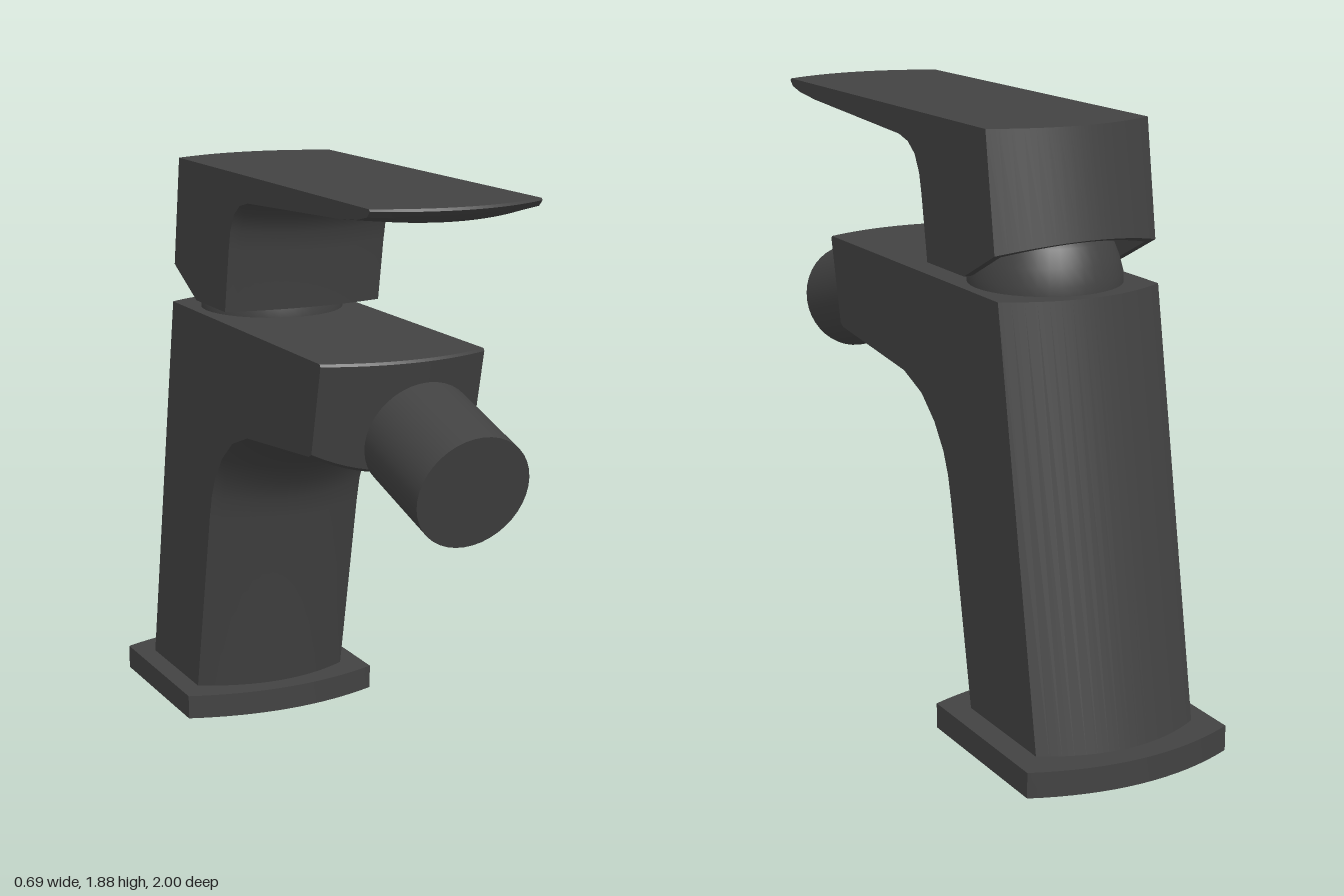
import * as THREE from 'three';
import { toCreasedNormals } from 'three/addons/utils/BufferGeometryUtils.js';

const COLS = 16;
const lerp = THREE.MathUtils.lerp;

function build(tris) {
  const g = new THREE.BufferGeometry();
  g.setAttribute('position', new THREE.Float32BufferAttribute(tris.flat(), 3));
  return toCreasedNormals(g, 0.5);
}

// Point of a bowed profile at t (-1..1): [zMiddle, yMiddle, zSide, ySide]
const bowed = ([zm, ym, zs, ys], t, w) => [t * w, lerp(ym, ys, t * t), lerp(zm, zs, t * t)];

// Sweep a side profile across x, blending middle to side outline;
// the last `skip` edges are left open
function bowedSolid(profile, w, skip = 0) {
  const tris = [], n = profile.length;
  for (let j = 0; j < n - skip; j++) {
    const p = profile[j], q = profile[(j + 1) % n];
    for (let i = 0; i < COLS; i++) {
      const t0 = -1 + 2 * i / COLS, t1 = -1 + 2 * (i + 1) / COLS;
      const a = bowed(p, t0, w), b = bowed(p, t1, w), c = bowed(q, t0, w), d = bowed(q, t1, w);
      tris.push(a, b, c, b, d, c);
    }
  }
  // flat side walls
  const side = profile.map(p => new THREE.Vector2(p[2], p[3]));
  for (const [a, b, c] of THREE.ShapeUtils.triangulateShape(side, [])) {
    const at = (k, s) => [s * w, side[k].y, side[k].x];
    tris.push(at(a, -1), at(b, -1), at(c, -1), at(a, 1), at(c, 1), at(b, 1));
  }
  return build(tris);
}

export function createModel() {
  const group = new THREE.Group();
  const metal = new THREE.MeshStandardMaterial({ color: 0x424242 });
  metal.name = 'dark metal';
  const add = (name, geometry, x = 0, y = 0, z = 0) => {
    const m = new THREE.Mesh(geometry, metal);
    m.name = name;
    m.position.set(x, y, z);
    group.add(m);
    return m;
  };
  const cx = -0.0075, w = 0.2725;

  // Base plate
  add('basePlate', bowedSolid([
    [-1, 0, -0.925, 0], [-0.295, 0, -0.36, 0],
    [-0.295, 0.08, -0.36, 0.08], [-1, 0.08, -0.925, 0.08],
  ], 0.345), -0.003);

  // Leaning column and spout
  add('body', bowedSolid([
    [-0.925, 0.06, -0.845, 0.06], [-0.37, 0.06, -0.445, 0.06],
    [-0.255, 0.7, -0.315, 0.71], [-0.235, 0.77, -0.295, 0.79],
    [-0.2, 0.835, -0.265, 0.86], [-0.14, 0.9, -0.205, 0.94],
    [-0.06, 0.955, -0.12, 1.01], [0.05, 0.988, 0, 1.055],
    [0.49, 1.035, 0.45, 1.1], [0.508, 1.045, 0.468, 1.11],
    [0.592, 1.385, 0.53, 1.385], [0.585, 1.393, 0.525, 1.393],
    [-0.685, 1.393, -0.605, 1.393],
  ], w), cx);

  // Cartridge neck under the lever
  add('neck', new THREE.LatheGeometry([
    [0.235, 1.385], [0.235, 1.42], [0.222, 1.47], [0.2, 1.525], [0.17, 1.57], [0, 1.63],
  ].reverse().map(p => new THREE.Vector2(...p)).reverse(), 40), cx, 0, -0.405);

  // Lever handle with an open underside
  const frontFoot = [-0.13, 1.43, -0.165, 1.43], backFoot = [-0.655, 1.555, -0.585, 1.5225];
  add('lever', bowedSolid([
    frontFoot, [-0.1, 1.62, -0.13, 1.63], [-0.085, 1.68, -0.115, 1.695],
    [-0.055, 1.735, -0.085, 1.75], [-0.01, 1.768, -0.04, 1.782],
    [0.05, 1.78, 0.02, 1.797], [0.7, 1.815, 0.64, 1.83],
    [0.82, 1.828, 0.76, 1.842], [0.885, 1.85, 0.82, 1.856],
    [0.908, 1.872, 0.838, 1.874], [0.902, 1.88, 0.832, 1.88],
    [-0.6, 1.88, -0.53, 1.88], backFoot, [-0.4, 1.43, -0.4, 1.43],
  ], w, 2), cx);

  // Rim and recess of the lever's underside
  const outer = [];
  for (let i = 0; i <= COLS; i++) outer.push(bowed(frontFoot, -1 + 2 * i / COLS, w));
  outer.push([w, 1.43, -0.4]);
  for (let i = 0; i <= COLS; i++) outer.push(bowed(backFoot, 1 - 2 * i / COLS, w));
  outer.push([-w, 1.43, -0.4]);
  const inner = outer.map(([x, , z]) => {
    const zi = -0.4 + (z + 0.4) * 0.92;
    return [x * 0.9, 1.43 + Math.max(0, -0.4 - zi) * 0.5, zi];
  });
  const rings = [outer, inner, inner.map(([x, , z]) => [x, 1.62, z]), inner.map(() => [0, 1.62, -0.4])];
  const tris = [];
  for (let r = 0; r < 3; r++) outer.forEach((_, i) => {
    const k = (i + 1) % outer.length;
    const a = rings[r][i], b = rings[r][k], c = rings[r + 1][i], d = rings[r + 1][k];
    tris.push(a, c, b);
    if (r < 2) tris.push(b, c, d);
  });
  add('leverRecess', build(tris), cx);

  // Tilted outlet nozzle and its stem
  const tilt = Math.PI / 2 + 0.28;
  add('nozzle', new THREE.CylinderGeometry(0.179, 0.179, 0.334, 40), cx, 1.127, 0.792).rotation.x = tilt;
  add('nozzleStem', new THREE.CylinderGeometry(0.068, 0.068, 0.24, 24), cx, 1.191, 0.57).rotation.x = tilt;

  return group;
}
